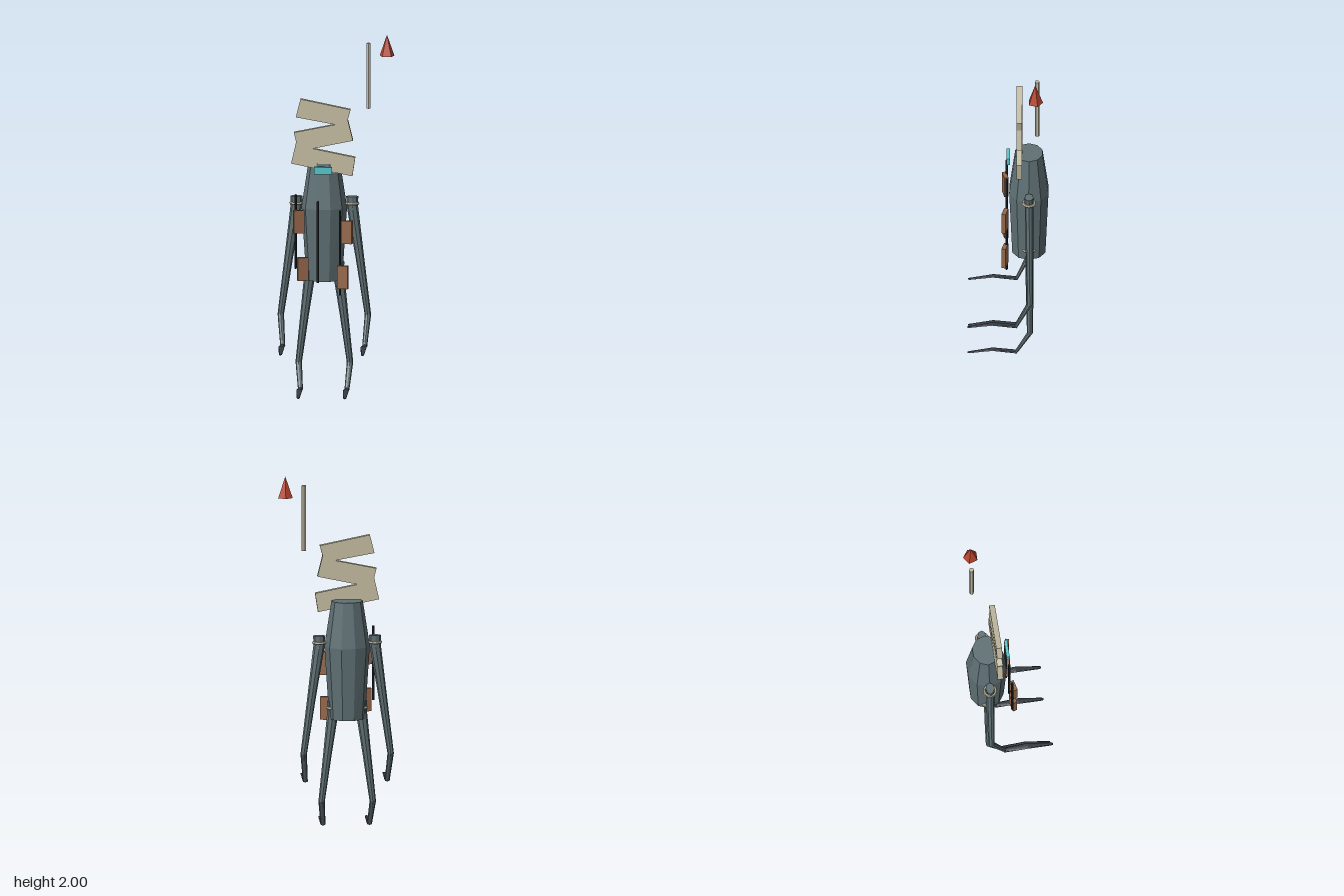
import * as THREE from 'three';

const paint = (name, color) => {
  const m = new THREE.MeshStandardMaterial({ color, flatShading: true });
  m.name = name;
  return m;
};

// Faceted solid through elliptical sections [x, y, z, halfWidth, halfDepth], listed from the top
// (or, with forward = true, from the front end, standing upright along z).
function loft(sections, sides, forward = false, start = 0) {
  const rows = sections.length - 1;
  const g = new THREE.CylinderGeometry(1, 1, 1, sides, rows, false, start);
  const p = g.attributes.position;
  for (let i = 0; i < p.count; i++) {
    const [x, y, z, a, b] = sections[Math.round((0.5 - p.getY(i)) * rows)];
    const u = p.getX(i) * a, v = p.getZ(i) * b;
    if (forward) p.setXYZ(i, x + u, y - v, z);
    else p.setXYZ(i, x + u, y, z + v);
  }
  g.computeVertexNormals();
  return g;
}

export function createModel() {
  const model = new THREE.Group();
  model.name = 'walker';
  const steel = paint('blue grey steel', 0x5f7074);
  const dark = paint('dark claw', 0x343a42);
  const black = paint('black rod', 0x22262a);
  const cream = paint('bone cream', 0xc6bea4);
  const brown = paint('brown plate', 0x96674a);
  const cyan = paint('cyan visor', 0x55c8cc);
  const red = paint('red tip', 0xb8452f);

  const add = (name, geometry, material, x = 0, y = 0, z = 0, parent = model) => {
    const mesh = new THREE.Mesh(geometry, material);
    mesh.name = name;
    mesh.position.set(x, y, z);
    parent.add(mesh);
    return mesh;
  };

  const cx = -0.068, cz = -0.115; // body axis

  // Ten-sided tapering hull
  add('body', loft([
    [cx, 1.285, cz, 0.088, 0.08],
    [cx, 1.03, cz, 0.127, 0.115],
    [cx, 0.62, cz, 0.1, 0.097],
  ], 10, false, Math.PI / 10), steel);

  // Legs: hip, knee and ankle offsets from the body axis
  const legs = [
    { name: 'outer', hip: 0.156, hipY: 1.05, knee: 0.243, kneeY: 0.42, foot: 0.229, footY: 0.255 },
    { name: 'inner', hip: 0.078, hipY: 0.68, knee: 0.143, kneeY: 0.15, foot: 0.13, footY: 0.01 },
  ];
  for (const l of legs) for (const side of [1, -1]) {
    const leg = new THREE.Group();
    leg.name = `${l.name}${side > 0 ? 'Left' : 'Right'}Leg`;
    model.add(leg);
    const at = (d) => cx + side * d;

    add('limb', loft([
      [at(l.hip), l.hipY + 0.04, cz - 0.002, 0.034, 0.025],
      [at(l.hip), l.hipY - 0.01, cz - 0.002, 0.032, 0.024],
      [at((l.hip + l.knee) / 2), (l.hipY + l.kneeY) / 2, cz - 0.005, 0.024, 0.021],
      [at(l.knee), l.kneeY, -0.122, 0.018, 0.017],
      [at(l.foot), l.footY, -0.045, 0.014, 0.01],
    ], 8), steel, 0, 0, 0, leg);

    const ring = add('hipRing', new THREE.TorusGeometry(0.032, 0.008, 6, 16), cream,
      at(l.hip), l.hipY, cz - 0.002, leg);
    ring.rotation.x = Math.PI / 2;

    // Flat bent claw, front end first
    const y = l.footY;
    add('claw', loft([
      [at(l.foot), y - 0.006, 0.226, 0.006, 0.003],
      [at(l.foot), y - 0.005, 0.215, 0.009, 0.004],
      [at(l.foot), y + 0.016, 0.085, 0.017, 0.004],
      [at(l.foot), y + 0.014, 0.07, 0.017, 0.004],
      [at(l.foot), y, -0.05, 0.015, 0.008],
    ], 8, true), dark, 0, 0, 0, leg);
  }

  // Vertical rods in front of the hull: x, top, bottom
  for (const [x, top, bottom] of [[-0.222, 1.12, 0.7], [-0.098, 1.08, 0.62], [0.025, 1.03, 0.55]])
    add('frontRod', new THREE.CylinderGeometry(0.007, 0.007, top - bottom, 6), black, x, (top + bottom) / 2, 0.009);

  // Hanging brown plates: x, y, yaw
  for (const [x, y, yaw] of [[-0.205, 0.967, 0.25], [-0.182, 0.7, 0.25], [0.065, 0.91, -0.25], [0.042, 0.655, -0.25]]) {
    const plate = add('hangingPlate', new THREE.BoxGeometry(0.06, 0.13, 0.024), brown, x, y, 0.018);
    plate.rotation.y = yaw;
  }

  add('visor', new THREE.BoxGeometry(0.1, 0.04, 0.018), cyan, -0.07, 1.255, 0);

  // Folded zigzag plate above the hull
  const zigzag = new THREE.Shape([
    [-0.198, 1.65], [-0.224, 1.547], [-0.003, 1.507], [-0.235, 1.46], [-0.222, 1.407], [-0.25, 1.285],
    [0.092, 1.216], [0.108, 1.322], [-0.129, 1.37], [0.095, 1.417], [0.066, 1.534], [0.082, 1.592],
  ].map(([x, y]) => new THREE.Vector2(x, y)));
  add('zigzagPlate', new THREE.ExtrudeGeometry(zigzag, { depth: 0.032, bevelEnabled: false }), cream, 0, 0, -0.078);

  // Floating staff and its pointed tip
  add('staff', new THREE.CylinderGeometry(0.0135, 0.0135, 0.37, 6), cream, 0.177, 1.765, -0.163);
  const tip = add('staffTip', new THREE.ConeGeometry(0.043, 0.12, 5), red, 0.28, 1.94, -0.153);
  tip.rotation.y = Math.PI;

  return model;
}
